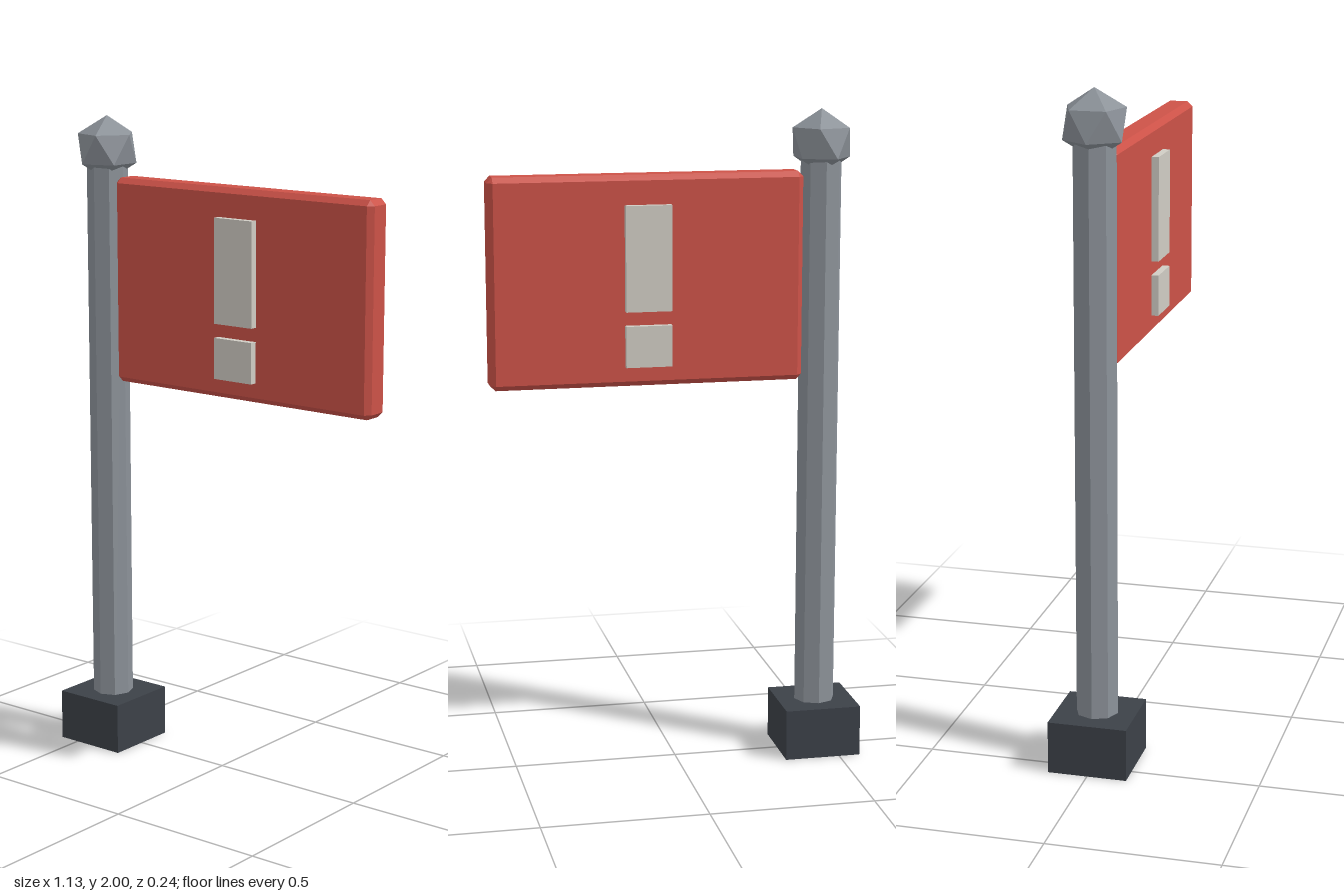
import * as THREE from 'three';
import { ConvexGeometry } from 'three/addons/geometries/ConvexGeometry.js';

const material = (name, color) => {
  const m = new THREE.MeshStandardMaterial({ color, flatShading: true });
  m.name = name;
  return m;
};

// Box with every edge and corner cut flat by c
function chamferedBox(w, h, d, c) {
  const points = [];
  for (const sx of [-1, 1]) for (const sy of [-1, 1]) for (const sz of [-1, 1]) {
    const x = w / 2, y = h / 2, z = d / 2;
    points.push(
      new THREE.Vector3(sx * x, sy * (y - c), sz * (z - c)),
      new THREE.Vector3(sx * (x - c), sy * y, sz * (z - c)),
      new THREE.Vector3(sx * (x - c), sy * (y - c), sz * z));
  }
  return new ConvexGeometry(points);
}

// Icosahedron standing on a point, with an upper-ring corner towards +x
function uprightIcosahedron(r) {
  const points = [new THREE.Vector3(0, r, 0), new THREE.Vector3(0, -r, 0)];
  const ring = r * 2 / Math.sqrt(5), level = r / Math.sqrt(5);
  for (let i = 0; i < 5; i++) {
    const a = i * Math.PI * 2 / 5;
    const x = ring * Math.cos(a), z = ring * Math.sin(a);
    points.push(new THREE.Vector3(x, level, z), new THREE.Vector3(-x, -level, -z));
  }
  return new ConvexGeometry(points);
}

export function createModel() {
  const group = new THREE.Group();
  group.name = 'warningSign';
  const steel = material('steel grey', 0x8c9299);
  const dark = material('dark base', 0x3c4148);
  const red = material('sign red', 0xcc5248);
  const pale = material('pale mark', 0xd0ccc4);

  const add = (name, geometry, mat, x, y, z = 0) => {
    const mesh = new THREE.Mesh(geometry, mat);
    mesh.name = name;
    mesh.position.set(x, y, z);
    group.add(mesh);
  };

  // Post with its foot and finial
  const postX = -0.447;
  add('base', new THREE.BoxGeometry(0.236, 0.158, 0.236), dark, postX, 0.079);
  add('post', new THREE.CylinderGeometry(0.063, 0.063, 1.85, 8), steel, postX, 0.935);
  add('finial', uprightIcosahedron(0.1), steel, postX, 1.9);

  // Sign board
  add('board', chamferedBox(0.948, 0.63, 0.088, 0.016), red, 0.089, 1.503);

  // Exclamation mark plates, raised on both faces
  for (const [side, s] of [['front', 1], ['back', -1]]) {
    add(side + 'MarkBar', new THREE.BoxGeometry(0.139, 0.315, 0.03), pale, 0.09, 1.573, s * 0.051);
    add(side + 'MarkDot', new THREE.BoxGeometry(0.139, 0.124, 0.03), pale, 0.09, 1.311, s * 0.051);
  }
  return group;
}
